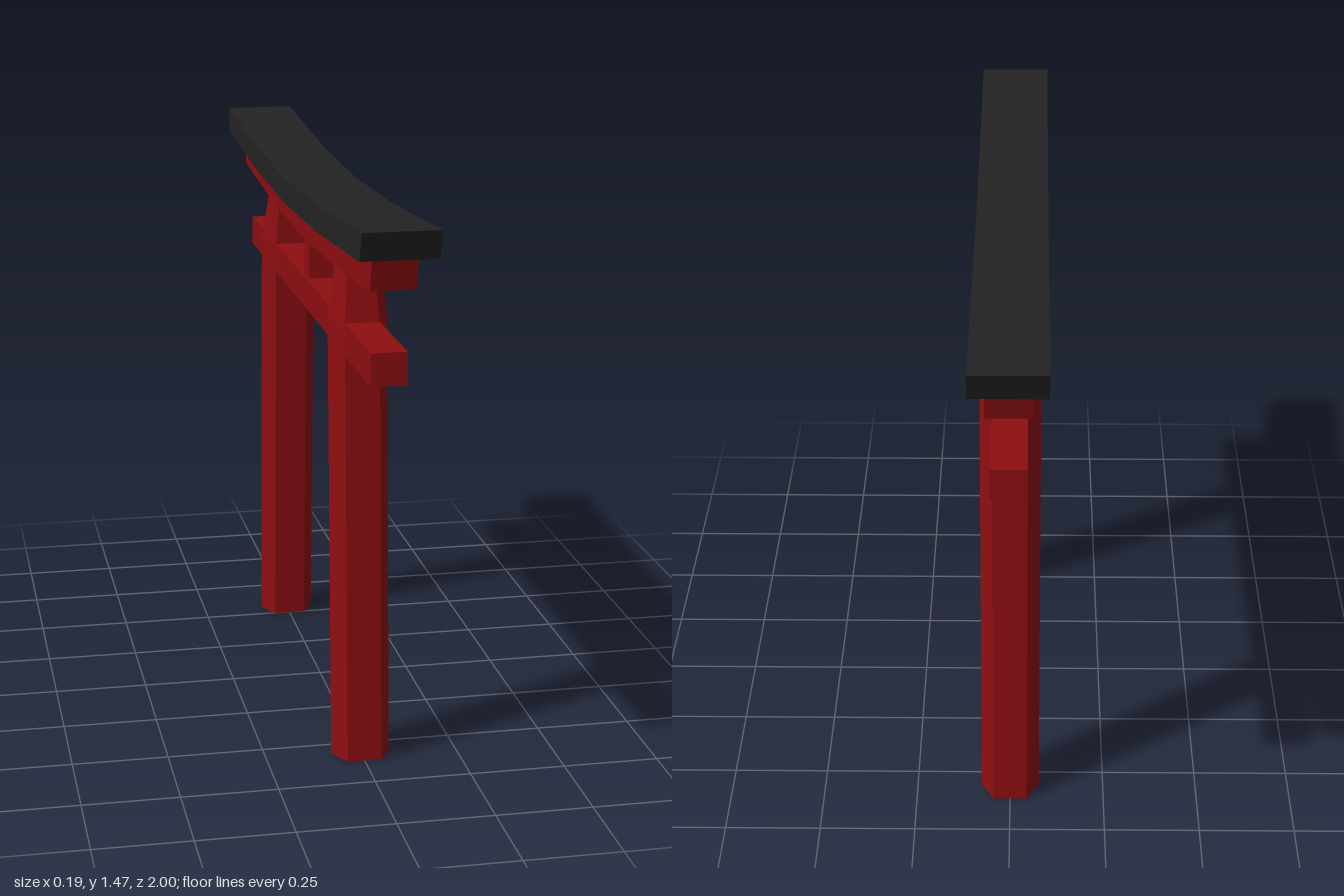
import * as THREE from 'three';

export function createModel() {
  const red = new THREE.MeshStandardMaterial({ color: 0x8e0e11, flatShading: true });
  red.name = 'vermilion red';
  const black = new THREE.MeshStandardMaterial({ color: 0x232323, flatShading: true });
  black.name = 'roof black';

  const gate = new THREE.Group();
  gate.name = 'gate';
  const add = (name, geometry, material) => {
    const mesh = new THREE.Mesh(geometry, material);
    mesh.name = name;
    gate.add(mesh);
  };
  const box = (name, width, y0, y1, length) =>
    add(name, new THREE.BoxGeometry(width, y1 - y0, length).translate(0, (y0 + y1) / 2, 0), red);

  // Upswept lintel: half profiles as [z, y] from centre to tip, mirrored in z
  const lintel = (name, top, bottom, width, material) => {
    const mirror = ([z, y]) => [-z, y];
    const outline = [
      ...bottom.slice(1).reverse().map(mirror), ...bottom,
      ...top.slice(1).reverse(), ...top.map(mirror),
    ];
    const shape = new THREE.Shape(outline.map(([z, y]) => new THREE.Vector2(z, y)));
    const geometry = new THREE.ExtrudeGeometry(shape, { depth: width, bevelEnabled: false });
    geometry.translate(0, 0, -width / 2).rotateY(-Math.PI / 2);
    add(name, geometry, material);
  };

  // Leaning six-sided pillar, narrowed above the tie beam
  const rings = [
    { y: 0, z: 0.557, rx: 0.077, rz: 0.061 },
    { y: 1.156, z: 0.502, rx: 0.077, rz: 0.059 },
    { y: 1.29, z: 0.491, rx: 0.058, rz: 0.045 },
  ];
  const pillar = (name, side) => {
    const geometry = new THREE.CylinderGeometry(1, 1, 2, 6, 2, false, Math.PI / 2).toNonIndexed();
    const p = geometry.attributes.position;
    for (let i = 0; i < p.count; i++) {
      const ring = rings[Math.round(p.getY(i)) + 1];
      const x = p.getX(i);
      const across = Math.abs(x) > 0.9 ? x : x * 1.16;
      p.setXYZ(i, across * ring.rx, ring.y, side * ring.z + (p.getZ(i) / 0.866) * ring.rz);
    }
    geometry.computeVertexNormals();
    add(name, geometry, red);
  };
  pillar('frontPillar', 1);
  pillar('backPillar', -1);

  // Tie beam and short centre strut
  box('tieBeam', 0.09, 1.075, 1.157, 1.74);
  box('centreStrut', 0.072, 1.15, 1.28, 0.072);

  // Red lintel beneath the black roof beam
  lintel('lowerLintel',
    [[0, 1.358], [0.45, 1.369], [0.93, 1.399]],
    [[0, 1.274], [0.45, 1.285], [0.91, 1.316]], 0.112, red);
  lintel('roofBeam',
    [[0, 1.425], [0.45, 1.437], [1, 1.473]],
    [[0, 1.357], [0.45, 1.368], [0.975, 1.401]], 0.19, black);

  return gate;
}
